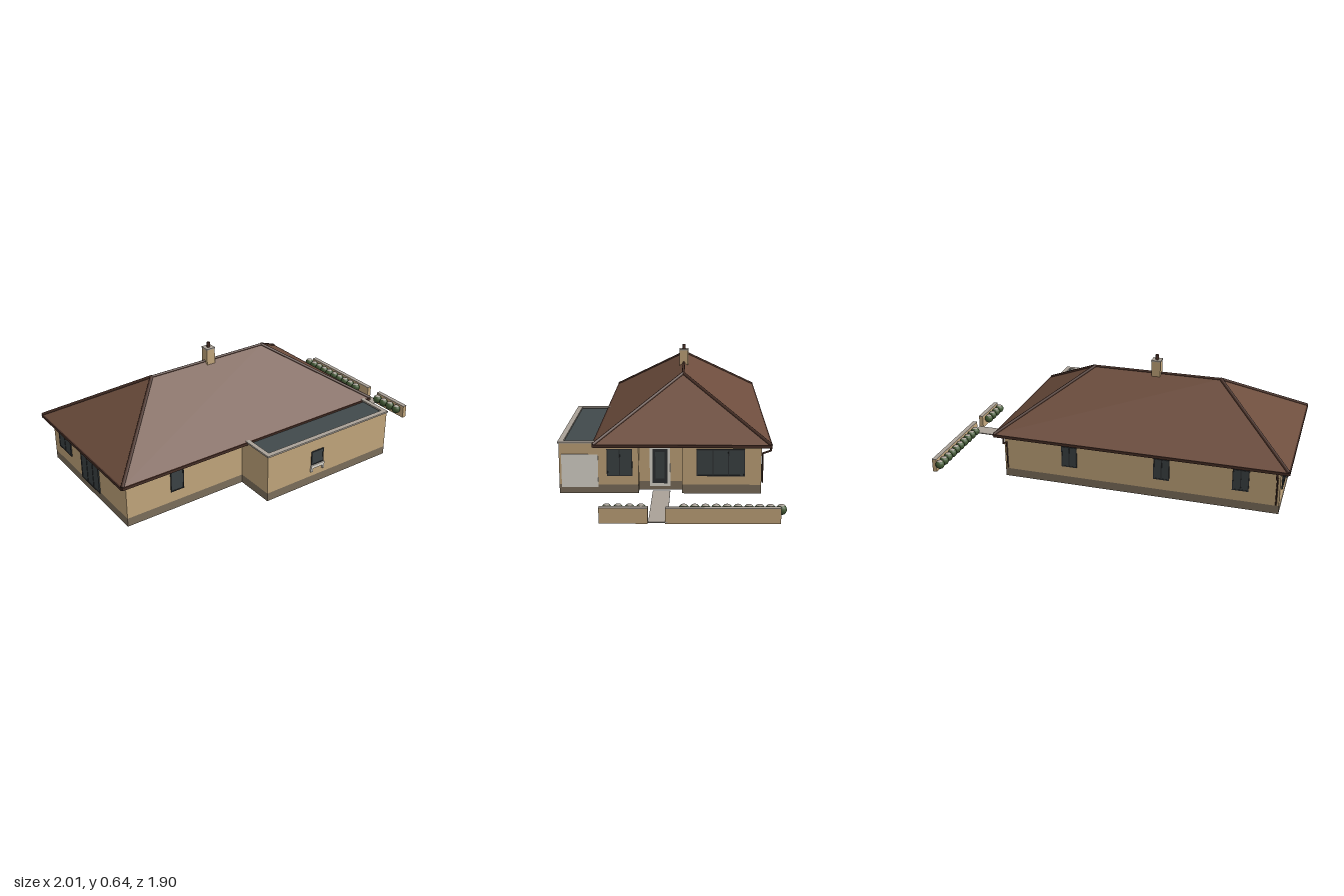
import * as THREE from 'three';

const mat = (name, color, side = THREE.FrontSide) => {
  const m = new THREE.MeshStandardMaterial({ color, side });
  m.name = name;
  return m;
};

export function createModel() {
  const M = {
    wall: mat('sand render', 0xc6a97e, THREE.DoubleSide),
    plinth: mat('plinth stone', 0x7f715e, THREE.DoubleSide),
    roof: mat('roof tile', 0x6d4d3d),
    trim: mat('dark brown trim', 0x472f26),
    glass: mat('window glass', 0x3d4446),
    frame: mat('window frame', 0x2e3133),
    slate: mat('flat roof felt', 0x414a4c, THREE.DoubleSide),
    grey: mat('pale concrete', 0xaaa298),
    white: mat('off white', 0xe2ddd3),
    green: mat('hedge green', 0x435a35),
  };

  const add = (parent, name, geometry, material, x = 0, y = 0, z = 0) => {
    const mesh = new THREE.Mesh(geometry, material);
    mesh.name = name;
    mesh.position.set(x, y, z);
    parent.add(mesh);
    return mesh;
  };
  // Box given by its limits on each axis
  const box = (parent, name, material, x0, x1, y0, y1, z0, z1) =>
    add(parent, name, new THREE.BoxGeometry(x1 - x0, y1 - y0, z1 - z0), material,
      (x0 + x1) / 2, (y0 + y1) / 2, (z0 + z1) / 2);
  // Round bar between two points
  const rod = (parent, name, material, a, b, r) => {
    const p = new THREE.Vector3(...a), q = new THREE.Vector3(...b);
    const d = q.clone().sub(p);
    const mesh = add(parent, name, new THREE.CylinderGeometry(r, r, d.length(), 8), material);
    mesh.position.copy(p).add(q).multiplyScalar(0.5);
    mesh.quaternion.setFromUnitVectors(new THREE.Vector3(0, 1, 0), d.normalize());
  };

  const model = new THREE.Group();
  model.name = 'bungalow';
  const house = new THREE.Group();
  house.name = 'plot';
  house.position.set(-0.122, 0, 0.12);
  house.rotation.y = 0.679;
  model.add(house);

  // Walls: a thin sheet with a plinth band; s runs rightwards seen from outside
  const BASE = 0.008, BAND = 0.053, L = 0.735, W = 0.39, G = 0.606, GX = -0.062;
  const wall = (name, angle, dist, s0, s1, top = 0.28) => {
    const g = new THREE.Group();
    g.name = name;
    g.rotation.y = angle;
    house.add(g);
    const sheet = (part, m, y0, y1) => add(g, part, new THREE.PlaneGeometry(s1 - s0, y1 - y0), m,
      (s0 + s1) / 2, (y0 + y1) / 2, dist);
    sheet('plinth', M.plinth, BASE, BAND);
    sheet('render', M.wall, BAND, top);
    g.userData.dist = dist;
    return g;
  };
  // Window or door: glass plate, with border and upright bars on the outside
  const opening = (g, name, s0, s1, y0, y1, panes = 2, frame = M.frame, b = 0.005) => {
    const d = g.userData.dist;
    box(g, name + 'Glass', M.glass, s0, s1, y0, y1, d - 0.004, d + 0.004);
    for (let i = 0; i <= panes; i++) {
      const s = s0 + b / 2 + (s1 - s0 - b) * i / panes;
      box(g, name + 'Upright', frame, s - b / 2, s + b / 2, y0, y1, d, d + 0.006);
    }
    for (const y of [y0, y1 - b])
      box(g, name + 'Rail', frame, s0, s1, y, y + b, d, d + 0.006);
  };

  const Q = Math.PI / 2;
  // Garden end
  const gardenEnd = wall('gardenEndWall', -Q, L, -W, W);
  opening(gardenEnd, 'window', -0.324, -0.188, 0.114, 0.228, 2);
  opening(gardenEnd, 'patioDoor', -0.073, 0.116, 0.05, 0.221, 3);
  // Long sides
  const side = wall('sideWall', 0, W, -L, L);
  opening(side, 'window', -0.491, -0.417, 0.112, 0.228, 1);
  const back = wall('backWall', Math.PI, W, -L, L);
  for (const s of [-0.369, 0.13, 0.538]) opening(back, 'window', s - 0.042, s + 0.042, 0.112, 0.228, 2);
  // Entrance end, with a recessed porch
  const entry = wall('entranceWallLong', Q, L, 0, W);
  opening(entry, 'wideWindow', 0.071, 0.308, 0.098, 0.235, 3);
  const entryB = wall('entranceWallShort', Q, L, -W, -0.215);
  opening(entryB, 'window', -0.371, -0.245, 0.098, 0.235, 2);
  const porch = wall('porchWall', Q, L - 0.056, -0.215, 0);
  opening(porch, 'frontDoor', -0.162, -0.06, 0.03, 0.235, 1, M.white, 0.014);
  box(porch, 'doorPanel', M.frame, -0.148, -0.074, 0.044, 0.221, L - 0.051, L - 0.0485);
  box(porch, 'doorLight', M.glass, -0.134, -0.088, 0.07, 0.207, L - 0.05, L - 0.047);
  wall('porchCheekA', 0, 0, L - 0.056, L);
  wall('porchCheekB', 0, 0.215, L - 0.056, L);

  // Garage with a flat roof behind a coping
  const garageSide = wall('garageSideWall', 0, G, GX, L, 0.266);
  opening(garageSide, 'window', 0.216, 0.294, 0.12, 0.198, 1);
  wall('garageRearWall', -Q, -GX, W, G, 0.266);
  const garageFront = wall('garageFrontWall', Q, L, -G, -W, 0.266);
  box(garageFront, 'garageDoor', M.white, -0.594, -0.414, 0.04, 0.207, L - 0.004, L + 0.004);
  const flat = add(house, 'garageRoof', new THREE.PlaneGeometry(L - GX, G - W), M.slate,
    (L + GX) / 2, 0.257, (G + W) / 2);
  flat.rotation.x = -Q;
  box(house, 'copingSide', M.grey, GX - 0.004, L + 0.004, 0.262, 0.271, G - 0.022, G + 0.005);
  for (const [a, b] of [[GX - 0.004, GX + 0.02], [L - 0.02, L + 0.004]])
    box(house, 'copingEnd', M.grey, a, b, 0.262, 0.271, W, G - 0.022);
  // Shallow ledge on brackets under the garage window
  box(house, 'ledge', M.white, 0.213, 0.3, 0.099, 0.117, G, G + 0.008);
  for (const x of [0.213, 0.288])
    box(house, 'ledgeBracket', M.white, x, x + 0.012, 0.08, 0.099, G, G + 0.008);

  // Hipped roof skin and its pale lining
  const EX = 0.775, EZ = 0.433, RX = 0.348, EY = 0.266, RY = 0.541;
  const hip = (drop, flip) => {
    const y0 = EY - drop, y1 = RY - drop;
    const p = [[-EX, y0, -EZ], [EX, y0, -EZ], [EX, y0, EZ], [-EX, y0, EZ], [-RX, y1, 0], [RX, y1, 0]];
    const faces = [[3, 2, 5], [3, 5, 4], [1, 0, 4], [1, 4, 5], [2, 1, 5], [0, 3, 4]];
    const pos = faces.flatMap(f => (flip ? [...f].reverse() : f).flatMap(i => p[i]));
    const g = new THREE.BufferGeometry();
    g.setAttribute('position', new THREE.Float32BufferAttribute(pos, 3));
    g.computeVertexNormals();
    return g;
  };
  add(house, 'roof', hip(0, false), M.roof);
  add(house, 'roofLining', hip(0.01, true), M.white);
  // Ridge, hip caps and gutters
  rod(house, 'ridgeCap', M.trim, [-RX, RY, 0], [RX, RY, 0], 0.007);
  for (const sx of [-1, 1]) {
    for (const sz of [-1, 1])
      rod(house, 'hipCap', M.trim, [sx * RX, RY, 0], [sx * EX, EY, sz * EZ], 0.009);
    box(house, 'endGutter', M.trim, sx * EX - 0.006, sx * EX + 0.006, 0.252, 0.267, -EZ, EZ);
    box(house, 'sideGutter', M.trim, -EX, EX, 0.252, 0.267, sx * EZ - 0.006, sx * EZ + 0.006);
    // Downpipes on the back corners
    const x = sx * 0.72;
    rod(house, 'downpipeDrop', M.trim, [x, 0.255, -EZ - 0.004], [x, 0.222, -EZ - 0.004], 0.005);
    rod(house, 'downpipeBend', M.trim, [x, 0.224, -EZ - 0.004], [x, 0.21, -W - 0.006], 0.005);
    rod(house, 'downpipe', M.trim, [x, 0.214, -W - 0.006], [x, 0.06, -W - 0.006], 0.004);
  }

  // Chimney
  box(house, 'chimney', M.wall, -0.024, 0.024, 0.52, 0.61, -0.024, 0.024);
  box(house, 'chimneyCap', M.grey, -0.026, 0.026, 0.609, 0.616, -0.026, 0.026);
  rod(house, 'fluePipe', M.trim, [0, 0.61, 0], [0, 0.643, 0], 0.009);

  // Path, garden walls and round shrubs
  box(house, 'path', M.grey, L - 0.045, 1.147, 0.003, 0.008, 0.06, 0.147);
  const ball = new THREE.SphereGeometry(0.025, 14, 10);
  const crown = new THREE.SphereGeometry(0.0255, 14, 4, 0, Math.PI * 2, 0, 0.65);
  for (const [z0, z1, first, last, n] of [[-0.45, 0.07, -0.455, -0.013, 10], [0.149, 0.37, 0.181, 0.337, 4]]) {
    box(house, 'gardenWall', M.wall, 1.123, 1.147, 0, 0.071, z0, z1);
    box(house, 'gardenWallCoping', M.grey, 1.1225, 1.1475, 0.071, 0.0745, z0, z1);
    for (let i = 0; i < n; i++) {
      const z = first + (last - first) * i / (n - 1);
      add(house, 'shrub', ball, M.green, 1.097, 0.052, z);
      add(house, 'shrubCrown', crown, M.grey, 1.097, 0.052, z);
    }
  }
  return model;
}
